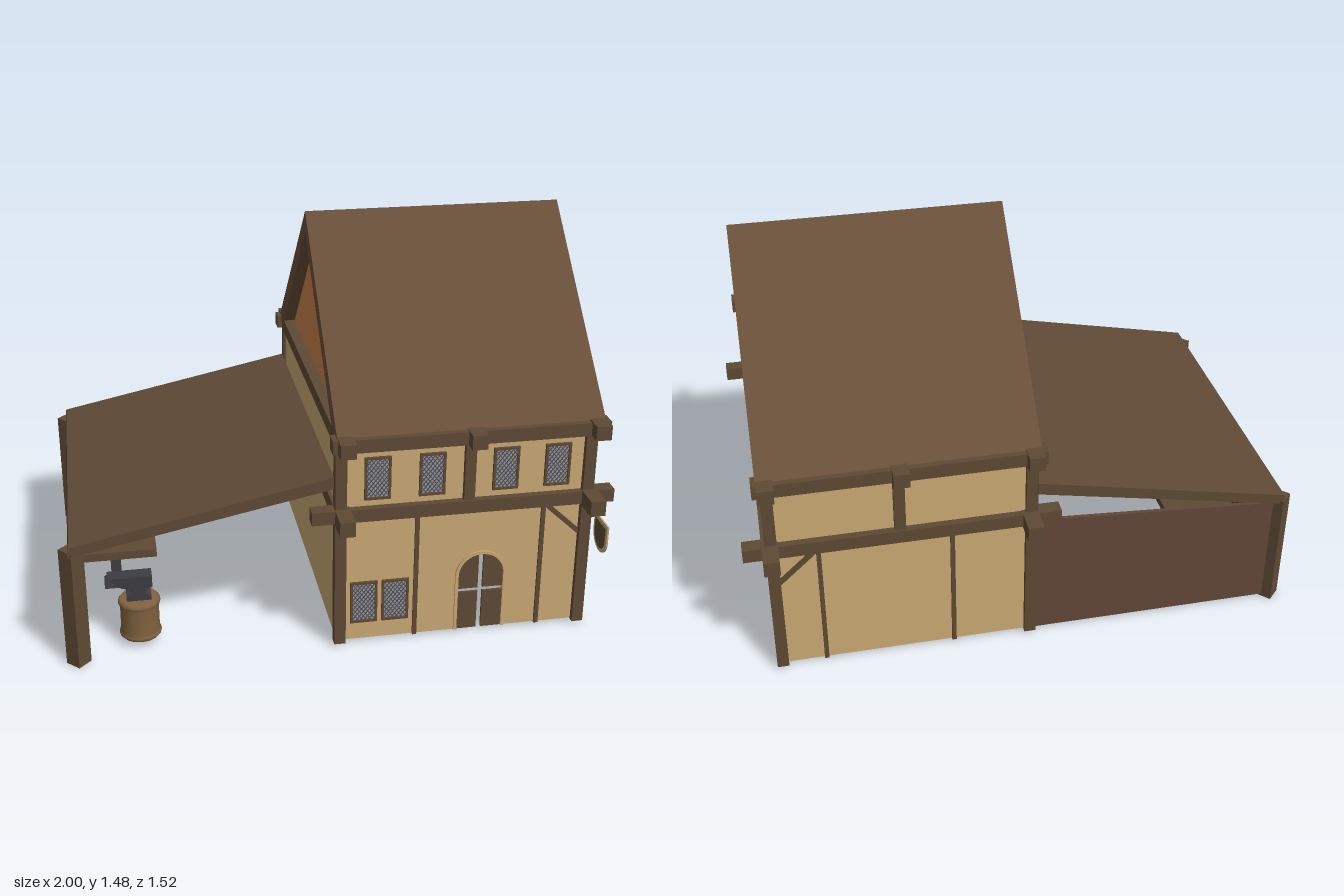
import * as THREE from 'three';

const mat = (name, color, side = THREE.FrontSide) => {
  const m = new THREE.MeshStandardMaterial({ color, side });
  m.name = name;
  return m;
};

export function createModel() {
  const model = new THREE.Group();
  const timber = mat('timber', 0x5f4a35);
  const roofWood = mat('roofWood', 0x684f39);
  const plaster = mat('plaster', 0xc9aa73);
  const clay = mat('clay', 0xc9814a, THREE.DoubleSide);
  const plank = mat('plank', 0x624737);
  const glass = mat('glass', 0x98979c);
  const lead = mat('lead', 0x505056);
  const iron = mat('iron', 0x3b3b41);
  const stumpWood = mat('stumpWood', 0x80623f, THREE.DoubleSide);

  const group = (name, parent = model) => {
    const g = new THREE.Group();
    g.name = name;
    parent.add(g);
    return g;
  };
  const add = (name, geo, m, parent = model) => {
    const mesh = new THREE.Mesh(geo, m);
    mesh.name = name;
    parent.add(mesh);
    return mesh;
  };
  // box given by its limits on each axis
  const box = (name, m, x0, x1, y0, y1, z0, z1, parent = model) => {
    const b = add(name, new THREE.BoxGeometry(x1 - x0, y1 - y0, z1 - z0), m, parent);
    b.position.set((x0 + x1) / 2, (y0 + y1) / 2, (z0 + z1) / 2);
    return b;
  };
  const shapeOf = (pts) => new THREE.Shape(pts.map(([x, y]) => new THREE.Vector2(x, y)));
  const extrude = (shape, depth) =>
    new THREE.ExtrudeGeometry(shape, { depth, bevelEnabled: false, curveSegments: 10 });
  // profile drawn in (z, y), extruded from x0 to x1
  const extrudeX = (name, m, shape, x0, x1, parent = model) => {
    const mesh = add(name, extrude(shape, x1 - x0), m, parent);
    mesh.rotation.y = -Math.PI / 2;
    mesh.position.x = x1;
    return mesh;
  };

  // --- House walls, open at the bottom, with an arched doorway ---
  const house = group('houseWalls');
  const doorX = 0.52, archY = 0.24, archR = 0.085;
  const front = new THREE.Shape();
  front.moveTo(-0.01, 0.012);
  front.lineTo(doorX - archR, 0.012);
  front.lineTo(doorX - archR, archY);
  front.absarc(doorX, archY, archR, Math.PI, 0, true);
  front.lineTo(doorX + archR, 0.012);
  front.lineTo(0.9, 0.012);
  front.lineTo(0.9, 0.84);
  front.lineTo(-0.01, 0.84);
  add('frontWall', extrude(front, 0.015), plaster, house).position.z = 0.54;
  box('backWall', plaster, -0.01, 0.9, 0.012, 0.84, -0.645, -0.63, house);
  box('leftWall', plaster, 0.895, 0.91, 0.012, 0.84, -0.645, 0.555, house);
  box('rightWall', plaster, -0.02, -0.005, 0.012, 0.84, -0.645, 0.555, house);

  // --- Door: raised arch trim and four panels with gaps between ---
  const door = group('door');
  door.position.set(doorX, 0, 0);
  const trim = new THREE.Shape();
  trim.moveTo(0.097, 0.012);
  trim.lineTo(0.097, archY);
  trim.absarc(0, archY, 0.097, 0, Math.PI, false);
  trim.lineTo(-0.097, 0.012);
  trim.lineTo(-archR, 0.012);
  trim.lineTo(-archR, archY);
  trim.absarc(0, archY, archR, Math.PI, 0, true);
  trim.lineTo(archR, 0.012);
  add('doorTrim', extrude(trim, 0.008), plaster, door).position.z = 0.554;
  const gap = 0.009;
  const upper = new THREE.Shape();
  upper.moveTo(gap, 0.182);
  upper.lineTo(archR, 0.182);
  upper.lineTo(archR, archY);
  upper.absarc(0, archY, archR, 0, Math.acos(gap / archR), false);
  const lower = shapeOf([[gap, 0.012], [archR, 0.012], [archR, 0.166], [gap, 0.166]]);
  for (const s of [1, -1]) for (const shape of [upper, lower]) {
    const p = add('doorPanel', extrude(shape, 0.01), timber, door);
    p.position.z = 0.545;
    p.scale.x = s;
  }

  // --- Leaded windows ---
  const windowAt = (cx, cy, w, h) => {
    const g = group('window');
    g.position.set(cx, cy, 0.555);
    const t = 0.009;
    for (const s of [-1, 1]) {
      const a = s * (w / 2 - t / 2), b = s * (h / 2 - t / 2);
      box('windowFrame', timber, a - t / 2, a + t / 2, -h / 2, h / 2, 0, 0.01, g);
      box('windowFrame', timber, -w / 2 + t, w / 2 - t, b - t / 2, b + t / 2, 0, 0.01, g);
    }
    const X = w / 2 - t, Y = h / 2 - t, k = 1.3;
    box('pane', glass, -X, X, -Y, Y, 0, 0.003, g);
    // diagonal bars clipped to the pane
    for (const s of [1, -1]) for (let c = -0.1; c <= 0.101; c += 0.02) {
      const x0 = Math.max(-X, (-Y - c) / k), x1 = Math.min(X, (Y - c) / k);
      if (x1 - x0 < 0.004) continue;
      const bar = add('leadBar', new THREE.BoxGeometry((x1 - x0) * Math.hypot(1, k), 0.003, 0.003), lead, g);
      bar.position.set(s * (x0 + x1) / 2, k * (x0 + x1) / 2 + c, 0.004);
      bar.rotation.z = s * Math.atan(k);
    }
  };
  for (const x of [0.08, 0.197]) windowAt(x, 0.168, 0.1, 0.168);
  for (const x of [0.124, 0.322, 0.592, 0.784]) windowAt(x, 0.668, 0.095, 0.165);

  // --- Timber frame ---
  const frame = group('timberFrame');
  for (const x of [-0.01, 0.902]) for (const z of [0.555, -0.642])
    box('cornerPost', timber, x - 0.021, x + 0.021, 0.008, 0.84, z - 0.021, z + 0.021, frame);
  for (const [z, s] of [[0.555, 1], [-0.645, -1]]) {
    box('middlePost', timber, 0.437, 0.477, 0.54, 0.82, z - 0.02, z + 0.02, frame);
    for (const x of [0.273, 0.743])
      box('thinPost', timber, x - 0.008, x + 0.008, 0.01, 0.52, z - 0.008, z + 0.008, frame);
    const brace = add('brace', new THREE.BoxGeometry(0.19, 0.018, 0.016), timber, frame);
    brace.position.set(0.822, 0.443, z);
    brace.rotation.z = -0.75;
    box('lowerCrossBeam', timber, -0.115, 1, 0.51, 0.56, z - 0.027, z + 0.027, frame);
    const u = z + s * 0.043;
    box('upperCrossBeam', timber, -0.05, 0.947, 0.802, 0.852, u - 0.03, u + 0.03, frame);
  }
  for (const x of [-0.004, 0.906])
    box('lowerSideBeam', timber, x - 0.028, x + 0.028, 0.505, 0.563, -0.755, 0.675, frame);
  for (const x of [-0.004, 0.457, 0.903])
    box('upperSideBeam', timber, x - 0.028, x + 0.028, 0.803, 0.857, -0.755, 0.675, frame);

  // --- Main roof and gable panels ---
  extrudeX('mainRoof', roofWood, shapeOf([
    [0.607, 0.853], [-0.045, 1.476], [-0.697, 0.853], [-0.597, 0.853], [-0.045, 1.398], [0.507, 0.853],
  ]), -0.032, 0.932);
  for (const x of [0.01, 0.885])
    extrudeX('gable', clay, shapeOf([[0.495, 0.85], [-0.045, 1.386], [-0.585, 0.85]]), x, x + 0.008);

  // --- Lean-to workshop ---
  const shed = group('leanTo');
  const slab = shapeOf([[-0.962, 0.488], [-0.968, 0.448], [-0.032, 0.635], [-0.032, 0.681]]);
  add('leanToRoof', extrude(slab, 1.217), timber, shed).position.z = -0.662;
  const rear = shapeOf([[-0.955, 0.01], [-0.03, 0.01], [-0.03, 0.507], [-0.955, 0.445]]);
  add('leanToBackWall', extrude(rear, 0.015), plank, shed).position.z = -0.645;
  box('leanToEndWall', plank, -0.962, -0.947, 0.01, 0.45, -0.63, 0.515, shed);
  for (const z of [0.515, -0.628]) {
    const post = box('leanToPost', timber, -0.987, -0.925, 0, 0.465, z - 0.031, z + 0.031, shed);
    post.rotation.y = Math.PI / 4;
  }

  // --- Workbench on an iron trestle ---
  const bench = group('workbench');
  box('benchTop', timber, -0.93, -0.642, 0.17, 0.203, -0.5, 0.1, bench);
  box('benchRack', timber, -0.947, -0.897, 0.203, 0.385, -0.45, 0.05, bench).scale.x = 0.3;
  for (const z of [0, -0.37]) {
    const foot = add('benchFoot', new THREE.CylinderGeometry(0.035, 0.07, 0.03, 4), iron, bench);
    foot.rotation.y = Math.PI / 4;
    foot.position.set(-0.8, 0.03, z);
    box('benchLeg', iron, -0.82, -0.78, 0.04, 0.17, z - 0.02, z + 0.02, bench);
  }
  box('benchRail', iron, -0.812, -0.788, 0.075, 0.1, -0.37, 0, bench);

  // --- Stump with anvil ---
  const anvil = group('anvilStand');
  anvil.position.set(-0.727, 0, 0.4);
  const profile = [[0.071, 0.028], [0.077, 0.035], [0.077, 0.045], [0.071, 0.05], [0.071, 0.155],
    [0.077, 0.16], [0.077, 0.172], [0.07, 0.18], [0, 0.18]].map(([x, y]) => new THREE.Vector2(x, y));
  add('stump', new THREE.LatheGeometry(profile, 16), stumpWood, anvil);
  const body = shapeOf([[-0.045, 0.18], [0.045, 0.18], [0.045, 0.195], [0.025, 0.205], [0.025, 0.228],
    [0.05, 0.232], [0.05, 0.277], [-0.112, 0.277], [-0.06, 0.235], [-0.025, 0.228], [-0.025, 0.205], [-0.045, 0.195]]);
  add('anvil', extrude(body, 0.06), iron, anvil).position.z = -0.03;

  // --- Hanging sign with a rounded foot ---
  const shield = (r, top) => {
    const s = new THREE.Shape();
    s.moveTo(r, top);
    s.lineTo(-r, top);
    s.lineTo(-r, 0.442);
    s.absarc(0, 0.442, r, Math.PI, Math.PI * 2, false);
    return s;
  };
  const sign = group('sign');
  sign.position.z = 0.698;
  extrudeX('signBoard', plaster, shield(0.063, 0.505), 0.91, 0.916, sign);
  extrudeX('signFace', timber, shield(0.048, 0.49), 0.908, 0.918, sign);

  return model;
}
